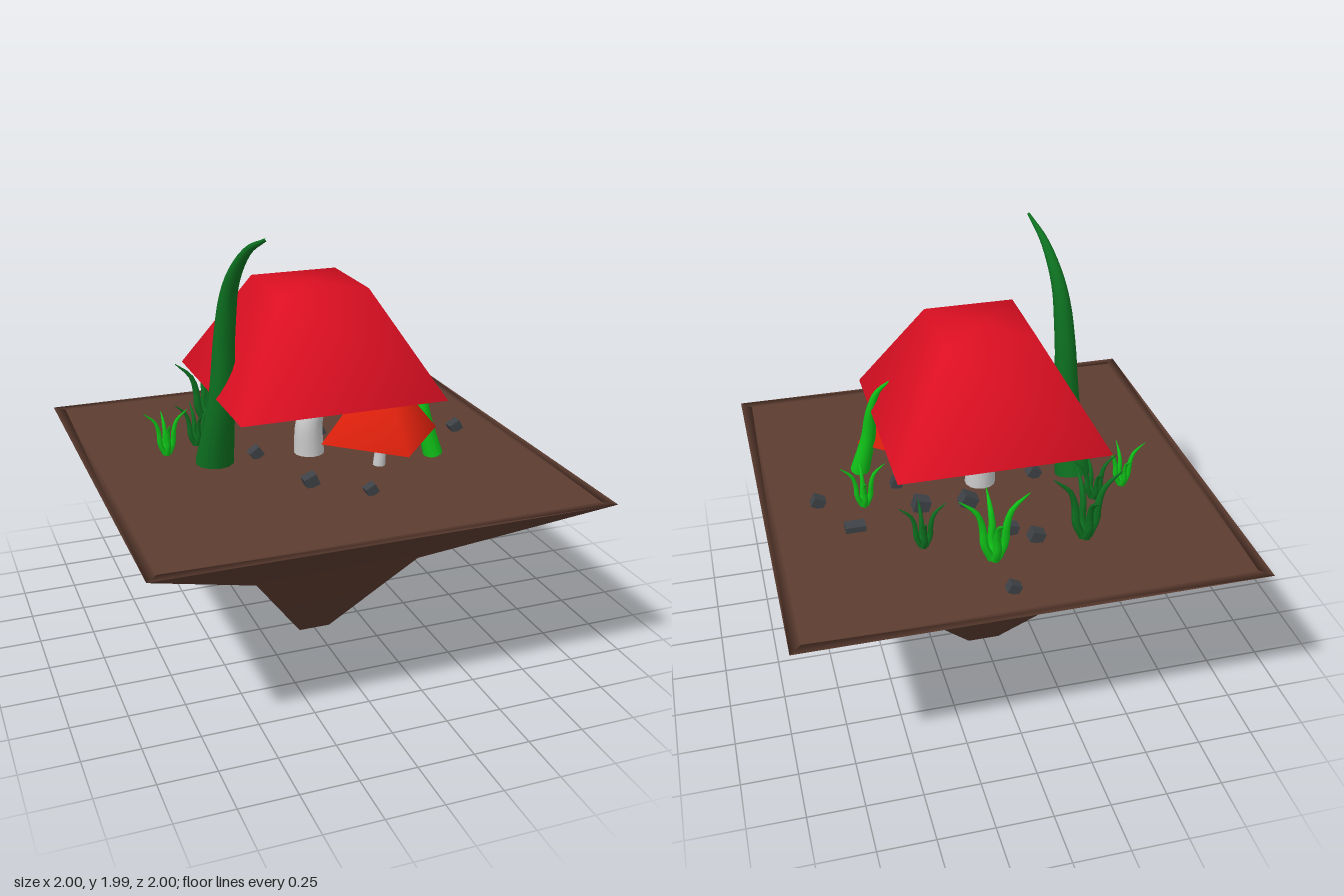
import * as THREE from 'three';

const mat = (color) => new THREE.MeshStandardMaterial({ color });
const brown = mat(0x5c3c30), red = mat(0xdc0f22), orangeRed = mat(0xdc200c), pale = mat(0xcccccc);
const darkGreen = mat(0x0d7020), brightGreen = mat(0x10c418), stone = mat(0x3e4246);

function add(parent, name, geometry, material) {
  const mesh = new THREE.Mesh(geometry, material);
  mesh.name = name;
  parent.add(mesh);
  return mesh;
}

// Square, smoothly shaded solid from [half width, height] pairs
function squareLoft(profile) {
  const pts = profile.map(([h, y]) => new THREE.Vector2(h * Math.SQRT2, y));
  return new THREE.LatheGeometry(pts, 4).rotateY(Math.PI / 4);
}

// Tapered tube along a curve; radii are spread evenly along its length
function taperedTube(points, radii, steps = 16, sides = 10) {
  const curve = new THREE.CatmullRomCurve3(points.map((p) => new THREE.Vector3(...p)));
  const geo = new THREE.TubeGeometry(curve, steps, 1, sides);
  const pos = geo.attributes.position, v = new THREE.Vector3();
  for (let i = 0; i <= steps; i++) {
    const c = curve.getPointAt(i / steps);
    const f = (i / steps) * (radii.length - 1), k = Math.min(Math.floor(f), radii.length - 2);
    const r = THREE.MathUtils.lerp(radii[k], radii[k + 1], f - k);
    for (let j = 0; j <= sides; j++) {
      const n = i * (sides + 1) + j;
      v.fromBufferAttribute(pos, n).sub(c).multiplyScalar(r).add(c);
      pos.setXYZ(n, v.x, v.y, v.z);
    }
  }
  return geo;
}

export function createModel() {
  const model = new THREE.Group();
  const ground = 0.88;

  // Floating island
  add(model, 'island', squareLoft([[0, 0], [0.075, 0], [0.385, 0.45], [1, ground], [0.95, ground], [0, ground]]), brown);

  // Mushroom caps, hollow beneath; the small one is a turned, scaled copy
  const cap = squareLoft([[0, 0.4], [0.13, 0.4], [0.39, 0], [0.465, 0], [0.2, 0.455], [0, 0.455]]);
  add(model, 'largeCap', cap, red).position.y = 1.225;
  const small = add(model, 'smallCap', cap, orangeRed);
  small.position.set(0.24, 1.02, 0.255);
  small.scale.setScalar(0.43);
  small.rotation.y = Math.PI / 4 + 0.05;

  // Mushroom stems
  add(model, 'largeStem', taperedTube(
    [[0, ground, 0], [0, 1.02, 0], [0.03, 1.12, -0.005], [-0.02, 1.24, 0], [-0.02, 1.63, 0]],
    [0.07, 0.062, 0.038, 0.04, 0.04, 0.04], 20, 14), pale);
  add(model, 'smallStem', taperedTube(
    [[0.24, ground, 0.255], [0.243, 0.96, 0.255], [0.215, 1.03, 0.255], [0.23, 1.19, 0.255]],
    [0.028, 0.024, 0.018, 0.018], 12, 10), pale);

  // Curling leaves
  add(model, 'tallLeaf', taperedTube(
    [[-0.44, ground, -0.03], [-0.425, 1.2, 0.055], [-0.415, 1.5, 0.085], [-0.4, 1.74, 0.15], [-0.37, 1.9, 0.28], [-0.337, 1.98, 0.435]],
    [0.088, 0.065, 0.052, 0.043, 0.025, 0.006], 28, 12), darkGreen);
  add(model, 'shortLeaf', taperedTube(
    [[0.52, ground, 0.225], [0.475, 1.07, 0.205], [0.46, 1.22, 0.18], [0.43, 1.32, 0.162], [0.37, 1.375, 0.15]],
    [0.045, 0.036, 0.03, 0.018, 0.004], 20, 10), brightGreen);

  // Grass tufts: x, z, scale, material, turn
  const blade = taperedTube([[0.01, 0, 0], [0.045, 0.08, 0], [0.05, 0.16, 0.005], [0.075, 0.24, 0.005], [0.15, 0.31, 0.01]],
    [0.02, 0.019, 0.016, 0.011, 0.002], 10, 6);
  const tufts = [
    [-0.33, -0.54, 1, darkGreen, 0.05], [0.09, -0.6, 1, brightGreen, 0.05],
    [-0.62, -0.19, 0.67, brightGreen, 0.05], [0.55, -0.07, 0.67, brightGreen, 0.05],
    [-0.46, -0.26, 0.67, darkGreen, 0.1], [0.36, -0.44, 0.67, darkGreen, 0.05],
  ];
  for (const [x, z, s, material, turn] of tufts) {
    const tuft = new THREE.Group();
    tuft.name = 'grassTuft';
    tuft.position.set(x, ground, z);
    tuft.scale.setScalar(s);
    for (let i = 0; i < 4; i++) {
      const b = add(tuft, 'grassBlade', blade, material);
      b.rotation.y = turn + i * Math.PI / 2;
      b.scale.y = i % 2 ? 0.85 : 1;
    }
    model.add(tuft);
  }

  // Scattered stones: x, z, width, tilt
  const block = new THREE.BoxGeometry(1, 0.85, 0.9);
  const stones = [
    [0.07, -0.83, 0.05, 0.5], [-0.12, -0.51, 0.06, 0.4], [0.05, -0.51, 0.06, 0.3], [0.62, -0.24, 0.09, 0],
    [0.75, -0.02, 0.055, 0.5], [0.08, 0.54, 0.05, 0.5], [-0.13, 0.37, 0.06, 0.4], [-0.25, -0.02, 0.055, 0.6],
    [0.31, -0.16, 0.07, 0.3], [0.38, 0.05, 0.05, 0.3], [0.1, -0.18, 0.07, 0.5], [-0.03, -0.43, 0.055, 0.3],
  ];
  for (const [x, z, w, tilt] of stones) {
    const s = add(model, 'stone', block, stone);
    s.position.set(x, ground + (tilt ? w * 0.4 : 0.01), z);
    s.scale.set(w, tilt ? w : 0.04, tilt ? w : 0.065);
    s.rotation.z = tilt;
  }
  return model;
}
